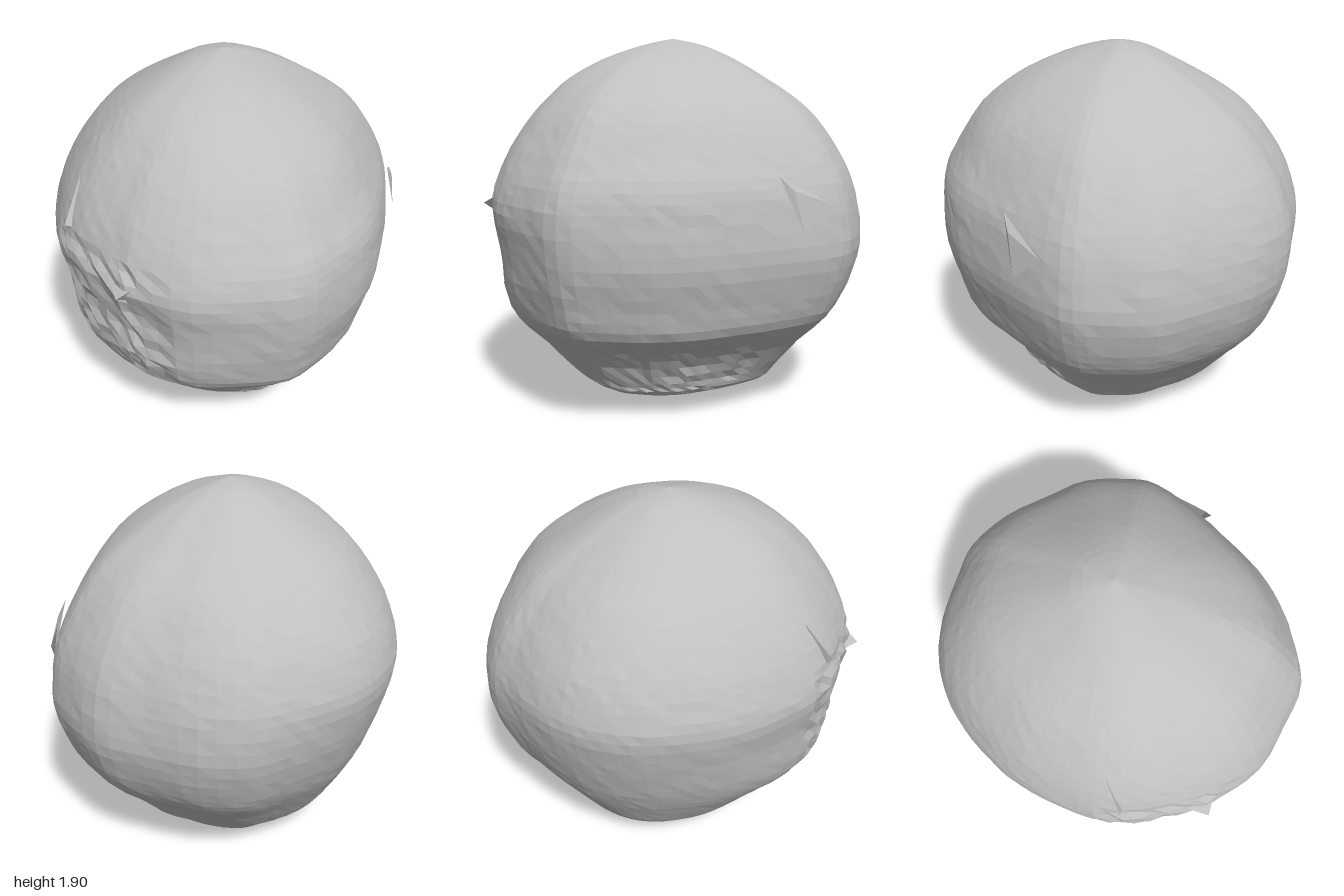
import * as THREE from 'three';

// Height, then reach towards -x, +x, -z, +z
const LEVELS = [
  [0, 0, 0, 0, 0], [0.02, 0.22, 0.19, 0.22, 0.2], [0.06, 0.4, 0.34, 0.38, 0.35],
  [0.13, 0.52, 0.53, 0.53, 0.49], [0.2, 0.6, 0.57, 0.6, 0.58], [0.35, 0.69, 0.66, 0.73, 0.72],
  [0.5, 0.77, 0.82, 0.87, 0.85], [0.65, 0.83, 0.87, 0.95, 0.9], [0.85, 0.89, 0.92, 1, 0.91],
  [1.05, 0.93, 0.915, 0.98, 0.95], [1.2, 0.9, 0.89, 0.935, 0.91], [1.35, 0.83, 0.81, 0.86, 0.84],
  [1.5, 0.72, 0.72, 0.75, 0.74], [1.6, 0.62, 0.63, 0.64, 0.65], [1.7, 0.47, 0.5, 0.49, 0.54],
  [1.8, 0.29, 0.32, 0.32, 0.36], [1.87, 0.15, 0.12, 0.16, 0.16], [1.905, 0, 0, 0, 0],
];

// Widest outline seen from above (x, z)
const PLAN = [
  [0.15, -1], [-0.1, -0.97], [-0.37, -0.92], [-0.6, -0.8], [-0.71, -0.65], [-0.81, -0.5],
  [-0.9, -0.3], [-0.93, -0.1], [-0.91, 0.1], [-0.84, 0.3], [-0.75, 0.48], [-0.6, 0.66],
  [-0.4, 0.83], [-0.2, 0.92], [0.05, 0.95], [0.22, 0.95], [0.48, 0.87], [0.7, 0.7],
  [0.86, 0.53], [0.91, 0.3], [0.92, 0.1], [0.89, -0.1], [0.82, -0.3], [0.71, -0.56],
  [0.56, -0.82], [0.4, -0.92],
];

function seeded(seed) {
  return () => {
    seed = (seed * 16807) % 2147483647;
    return seed / 2147483647;
  };
}

// Lumpy ball lofted from rings, with rougher patches on the front and left side
function bodyGeometry(rows, cols) {
  const curve = (pts, closed) => new THREE.CatmullRomCurve3(pts, closed, 'catmullrom', 0.5);
  const xs = curve(LEVELS.map(l => new THREE.Vector3(l[1], l[0], l[2])), false);
  const zs = curve(LEVELS.map(l => new THREE.Vector3(l[3], l[0], l[4])), false);
  const plan = curve(PLAN.map(p => new THREE.Vector3(p[0], 0, p[1])), true);
  const rand = seeded(71);
  const pos = [], index = [];
  for (let i = 0; i <= rows; i++) {
    const a = xs.getPoint(i / rows), b = zs.getPoint(i / rows);
    for (let j = 0; j < cols; j++) {
      const p = plan.getPoint(j / cols);
      const c2 = p.x * p.x / (p.x * p.x + p.z * p.z);
      const sx = p.x < 0 ? a.x / 0.93 : a.z / 0.92;
      const sz = p.z < 0 ? b.x : b.z / 0.95;
      const s = c2 * sx + (1 - c2) * sz;
      const x = p.x * s, y = a.y, z = p.z * s;
      const front = z > 0.6 && Math.abs(x) < 0.35 && y > 0.45 && y < 1.2;
      const side = x > 0.45 && Math.abs(z) < 0.4 && y > 0.12 && y < 0.5;
      const rough = front || side ? 0.03 : 0.005;
      const k = 1 - rand() * rough;
      pos.push(x * k, y, z * k);
    }
  }
  for (let i = 0; i < rows; i++) {
    for (let j = 0; j < cols; j++) {
      const n = (j + 1) % cols;
      const q = i * cols + j, r = i * cols + n;
      if (i > 0) index.push(q, r, q + cols);
      if (i < rows - 1) index.push(r, r + cols, q + cols);
    }
  }
  const g = new THREE.BufferGeometry();
  g.setAttribute('position', new THREE.Float32BufferAttribute(pos, 3));
  g.setIndex(index);
  g.computeVertexNormals();
  return g;
}

// Small raised chips: a triangular base and a tip
const CHIPS = [
  ['frontChip', [[0.05, 1.06, 0.93], [0.14, 1.0, 0.93], [0.22, 1.11, 0.9]], [0.15, 1.05, 1]],
  ['frontSliver', [[-0.27, 1.17, 0.84], [-0.25, 1.2, 0.84], [-0.3, 1.42, 0.73]], [-0.28, 1.22, 0.88]],
  ['frontLump', [[-0.21, 1.11, 0.85], [-0.05, 1.03, 0.9], [-0.07, 1.19, 0.87]], [-0.1, 1.1, 0.92]],
  ['sideSliver', [[0.72, 1.26, -0.48], [0.72, 0.98, -0.61], [0.62, 1.12, -0.73]], [0.72, 1.19, -0.55]],
];

function chipGeometry([a, b, c], tip) {
  const g = new THREE.BufferGeometry();
  const pos = [a, b, tip, b, c, tip, c, a, tip].flat();
  g.setAttribute('position', new THREE.Float32BufferAttribute(pos, 3));
  g.computeVertexNormals();
  return g;
}

export function createModel() {
  const group = new THREE.Group();
  group.name = 'lumpyBall';
  const grey = new THREE.MeshStandardMaterial({ color: 0xc0c0c0, flatShading: true, side: THREE.DoubleSide });
  grey.name = 'plain grey';

  const body = new THREE.Mesh(bodyGeometry(51, 78), grey);
  body.name = 'body';
  group.add(body);

  for (const [name, base, tip] of CHIPS) {
    const chip = new THREE.Mesh(chipGeometry(base, tip), grey);
    chip.name = name;
    group.add(chip);
  }
  return group;
}
